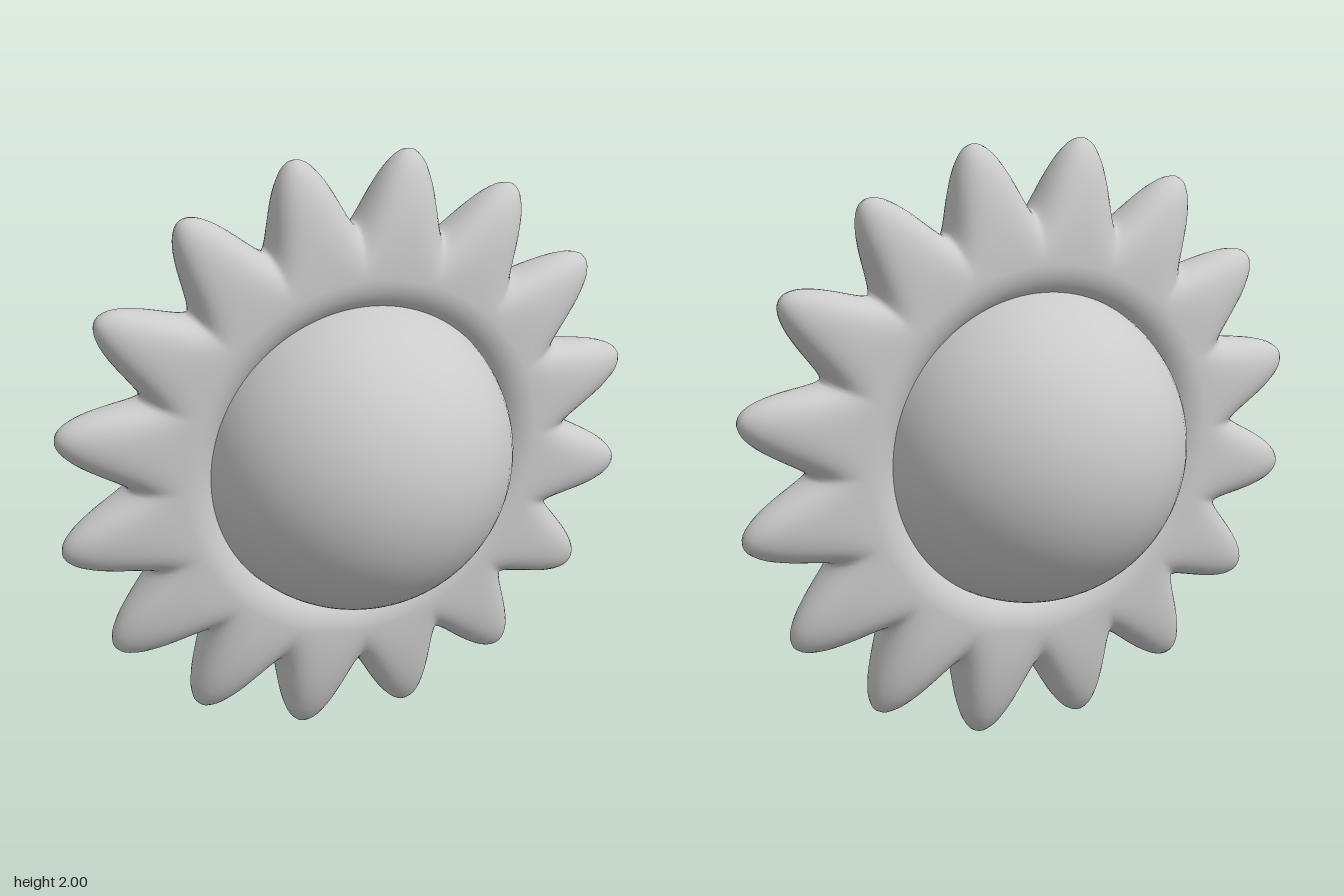
import * as THREE from 'three';
import { mergeVertices } from 'three/addons/utils/BufferGeometryUtils.js';

const PETALS = 16;
const RIDGE = 0.62;   // radius where the petal ring is thickest
const INNER = 0.49;   // inner edge of the ring, hidden in the ball
const VALLEY = 0.78;  // outline radius between petals
const TIP = 1.019;    // outline radius at the petal tips
const HALF_DEPTH = 0.122;

// Outline radius: rounded tips with narrow valleys, a valley straight up
function outline(angle) {
  const wave = (1 - Math.cos(PETALS * angle)) / 2;
  return VALLEY + (TIP - VALLEY) * Math.pow(wave, 0.75);
}

// Torus reshaped so each cross-section is an egg reaching to the outline
function petalRingGeometry() {
  const base = new THREE.TorusGeometry(2, 1, 40, PETALS * 28);
  base.deleteAttribute('uv');
  base.deleteAttribute('normal');
  const pos = base.attributes.position;
  for (let i = 0; i < pos.count; i++) {
    const x = pos.getX(i), y = pos.getY(i);
    const angle = Math.atan2(y, x);
    const across = Math.hypot(x, y) - 2; // -1 inner edge, +1 outer edge
    const reach = across > 0 ? outline(angle) - RIDGE : RIDGE - INNER;
    const r = RIDGE + across * reach;
    pos.setXYZ(i, r * Math.cos(angle), r * Math.sin(angle), pos.getZ(i) * HALF_DEPTH);
  }
  const geometry = mergeVertices(base, 1e-5);
  geometry.computeVertexNormals();
  return geometry;
}

export function createModel() {
  const group = new THREE.Group();
  group.name = 'flower';
  const material = new THREE.MeshStandardMaterial({ color: 0xcccccc });

  // Ring of petals
  const petals = new THREE.Mesh(petalRingGeometry(), material);
  petals.name = 'petalRing';
  petals.position.set(0, 1, -0.006);
  group.add(petals);

  // Round centre
  const ball = new THREE.Mesh(new THREE.SphereGeometry(0.53, 64, 48), material);
  ball.name = 'centreBall';
  ball.position.y = 1;
  group.add(ball);

  return group;
}
